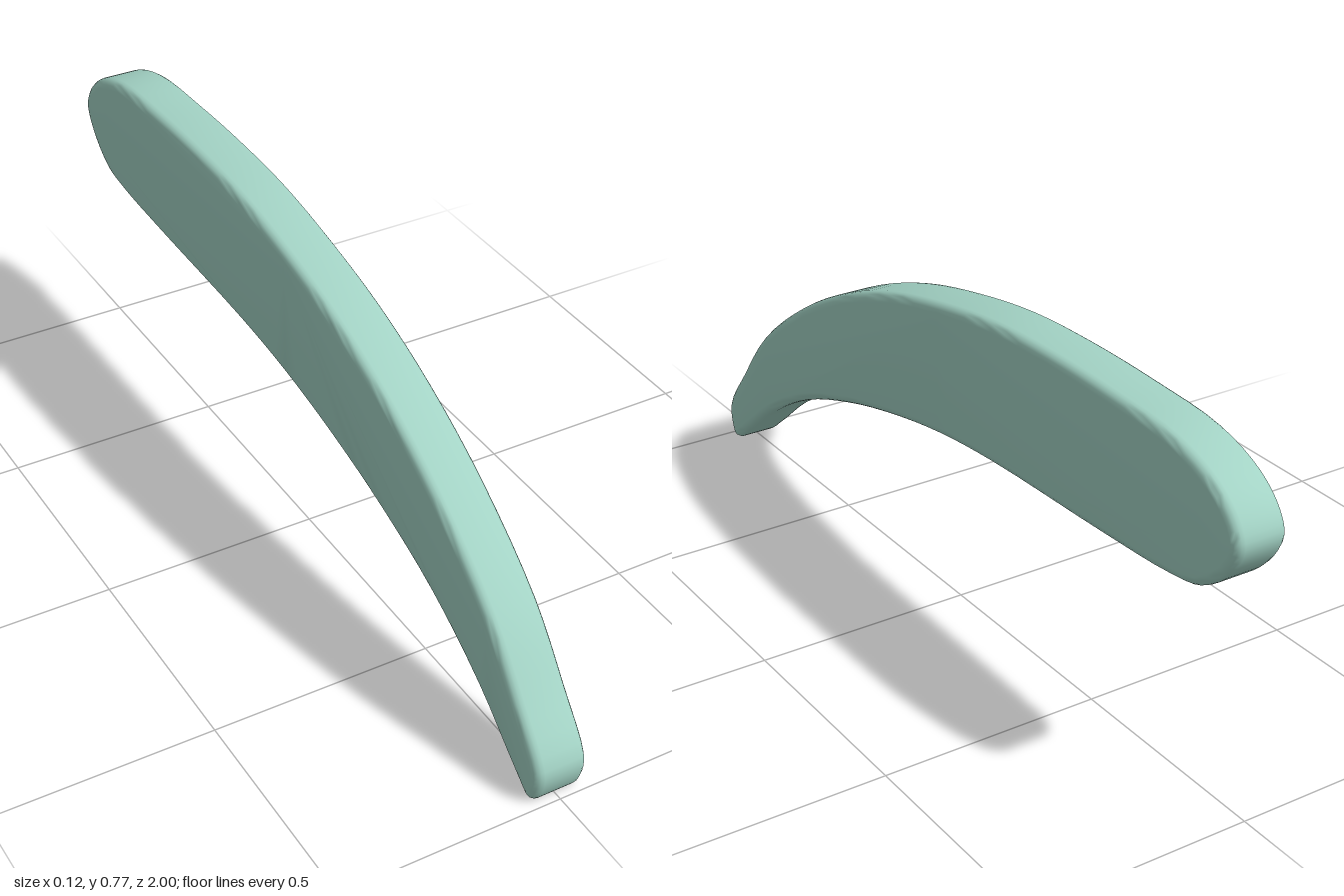
import * as THREE from 'three';
import { toCreasedNormals } from 'three/addons/utils/BufferGeometryUtils.js';

// Side outline as [-z, y], from the narrow tip over the top and back underneath
const OUTLINE = [
  [-0.972, 0.002], [-0.994, 0.035], [-0.997, 0.09], [-0.915, 0.205], [-0.8, 0.345],
  [-0.6, 0.497], [-0.4, 0.605], [-0.2, 0.68], [0, 0.728], [0.2, 0.76], [0.4, 0.77],
  [0.6, 0.768], [0.8, 0.755], [0.92, 0.713], [0.98, 0.66], [0.998, 0.61], [0.965, 0.545],
  [0.89, 0.485], [0.8, 0.467], [0.6, 0.455], [0.2, 0.44], [0, 0.42], [-0.2, 0.383],
  [-0.4, 0.33], [-0.6, 0.255], [-0.78, 0.15], [-0.915, 0.04],
];
const WIDTH = 0.12;
const BEVEL = 0.02;

export function createModel() {
  const group = new THREE.Group();
  group.name = 'curvedHandle';

  const curve = new THREE.CatmullRomCurve3(
    OUTLINE.map(([u, y]) => new THREE.Vector3(u, y, 0)), true, 'centripetal');
  const points = curve.getPoints(OUTLINE.length * 4).slice(0, -1);
  const shape = new THREE.Shape(points.map((p) => new THREE.Vector2(p.x, p.y)));

  // Curved slab with rounded edges, its thickness running along x
  const slab = new THREE.ExtrudeGeometry(shape, {
    depth: WIDTH - 2 * BEVEL,
    bevelThickness: BEVEL,
    bevelSize: BEVEL,
    bevelOffset: -BEVEL,
    bevelSegments: 4,
  });
  slab.translate(0, 0, -(WIDTH / 2 - BEVEL));
  slab.rotateY(Math.PI / 2);

  const body = new THREE.Mesh(
    toCreasedNormals(slab, 0.8),
    new THREE.MeshStandardMaterial({ color: 0xa3d3c5 }));
  body.name = 'curvedBody';
  group.add(body);
  return group;
}
